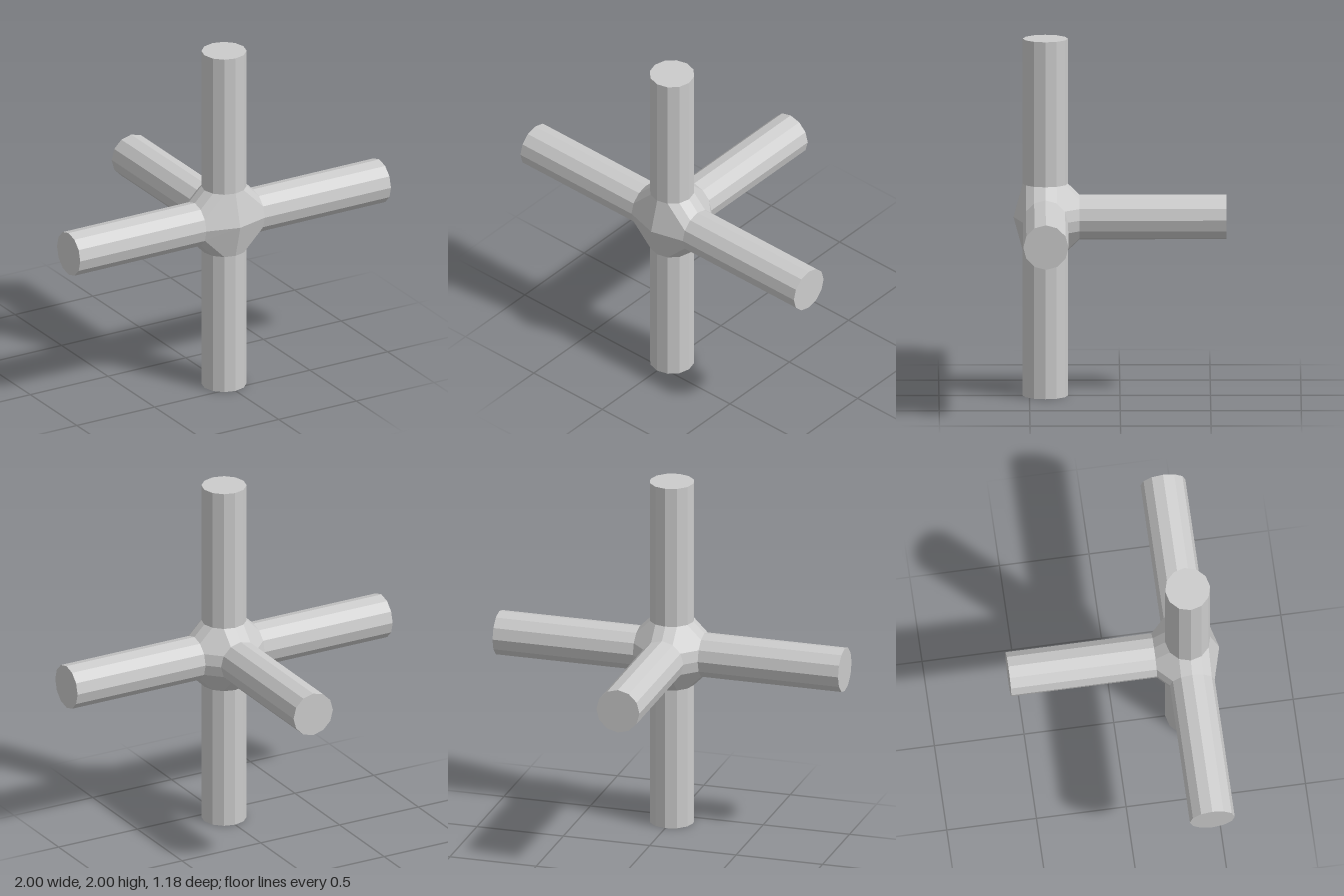
import * as THREE from 'three';
import { ConvexGeometry } from 'three/addons/geometries/ConvexGeometry.js';

const SIDES = 12, RADIUS = 0.125, START = 0.1875, END = 1, FRONT_APEX = 0.176;

// The five pipe directions, measured from the hub centre
const PIPES = {
  topPipe: [0, 1, 0],
  bottomPipe: [0, -1, 0],
  leftPipe: [1, 0, 0],
  rightPipe: [-1, 0, 0],
  backPipe: [0, 0, -1],
};

export function createModel() {
  const model = new THREE.Group();
  model.name = 'fiveWayPipeJoint';
  const material = new THREE.MeshStandardMaterial({ color: 0xcccccc, flatShading: true });
  const up = new THREE.Vector3(0, 1, 0);

  // The hub is the hull of all pipe mouths and one shallow front peak
  const hubPoints = [new THREE.Vector3(0, 0, FRONT_APEX)];

  for (const [name, dir] of Object.entries(PIPES)) {
    const turn = new THREE.Quaternion().setFromUnitVectors(up, new THREE.Vector3(...dir));

    // Straight faceted pipe
    const geometry = new THREE.CylinderGeometry(RADIUS, RADIUS, END - START, SIDES);
    geometry.translate(0, (START + END) / 2, 0).applyQuaternion(turn);
    const pipe = new THREE.Mesh(geometry, material);
    pipe.name = name;
    model.add(pipe);

    // Ring where this pipe meets the hub
    for (let i = 0; i < SIDES; i++) {
      const a = (i / SIDES) * Math.PI * 2;
      const p = new THREE.Vector3(Math.sin(a) * RADIUS, START, Math.cos(a) * RADIUS);
      hubPoints.push(p.applyQuaternion(turn));
    }
  }

  // Bevelled hub
  const hub = new THREE.Mesh(new ConvexGeometry(hubPoints), material);
  hub.name = 'hub';
  model.add(hub);

  // Stand on the ground and centre the depth
  model.position.set(0, END, (END - FRONT_APEX) / 2);
  return model;
}
